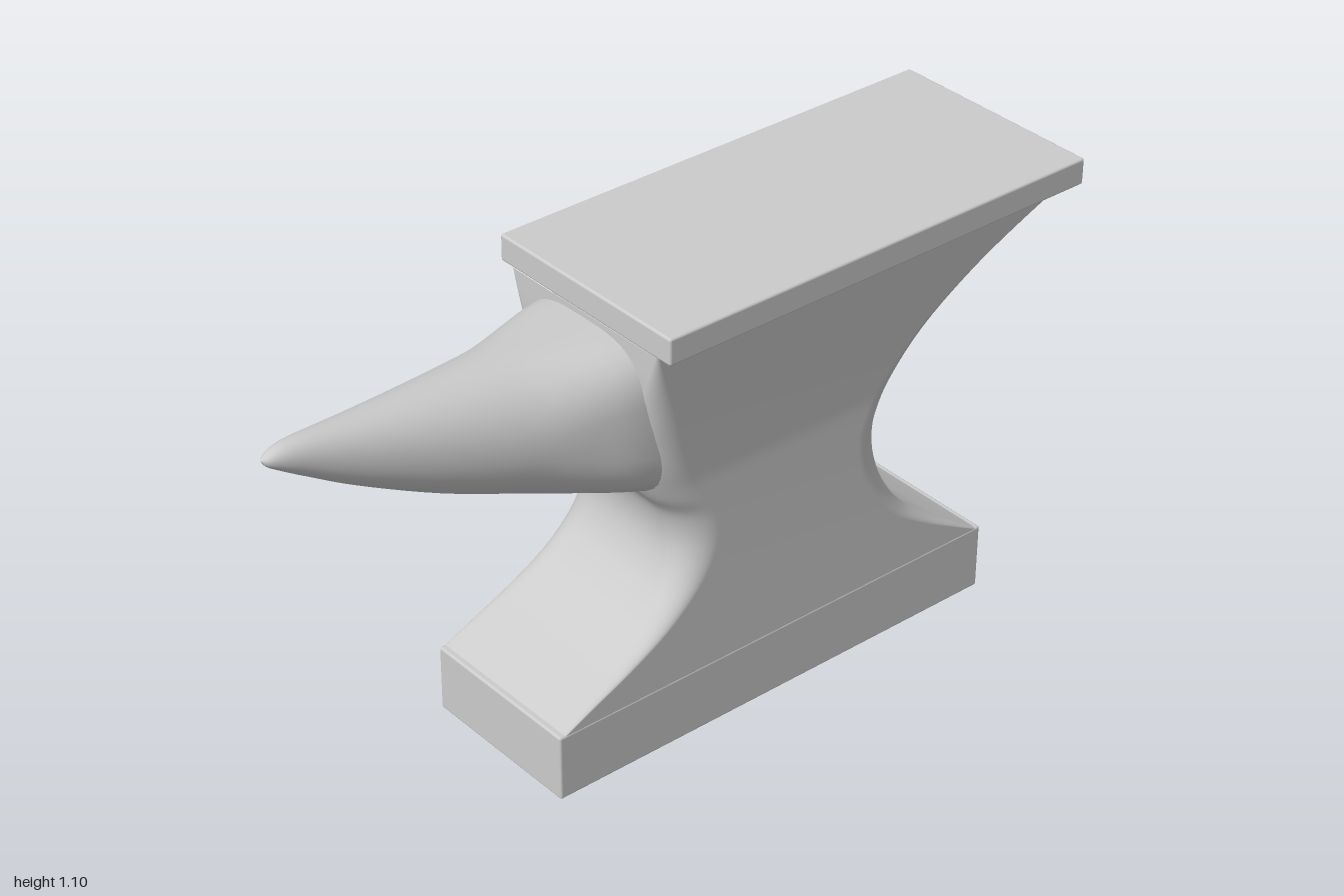
import * as THREE from 'three';
import { RoundedBoxGeometry } from 'three/addons/geometries/RoundedBoxGeometry.js';

const material = new THREE.MeshStandardMaterial({ color: 0xcccccc });

function addMesh(group, name, geometry) {
  const mesh = new THREE.Mesh(geometry, material);
  mesh.name = name;
  group.add(mesh);
  return mesh;
}

// Smooth skin over closed rings that each hold the same number of points
function loft(rings) {
  const n = rings[0].length;
  const index = [];
  for (let i = 0; i < rings.length - 1; i++) {
    for (let j = 0; j < n; j++) {
      const a = i * n + j, b = i * n + (j + 1) % n;
      index.push(a, b, a + n, b, b + n, a + n);
    }
  }
  const geometry = new THREE.BufferGeometry().setFromPoints(rings.flat());
  geometry.setIndex(index);
  geometry.computeVertexNormals();
  return geometry;
}

// Smooth samples through key sections, each section being three numbers
const smooth = (keys, count) =>
  new THREE.CatmullRomCurve3(keys.map(k => new THREE.Vector3(...k)), false, 'centripetal').getPoints(count);

// Rounded rectangle at height y, running so that the skin faces outwards
function bodyRing(y, front, back, halfWidth, radius) {
  const points = [];
  const corners = [[1, front], [1, back], [-1, back], [-1, front]];
  corners.forEach(([side, z], c) => {
    const inward = z === front ? -radius : radius;
    for (let k = 0; k <= 8; k++) {
      const a = Math.PI / 2 - (c + k / 8) * Math.PI / 2;
      points.push(new THREE.Vector3(
        side * (halfWidth - radius) + radius * Math.cos(a), y,
        z + inward + radius * Math.sin(a)));
    }
  });
  return points;
}

export function createModel() {
  const anvil = new THREE.Group();
  anvil.name = 'anvil';

  // Foot and top plate, with slightly softened edges
  addMesh(anvil, 'base', new RoundedBoxGeometry(0.43, 0.168, 1.25, 3, 0.006)).position.set(0, 0.084, -0.185);
  addMesh(anvil, 'facePlate', new RoundedBoxGeometry(0.56, 0.065, 1.19, 3, 0.006)).position.set(0, 1.0685, -0.405);

  // Waisted body: height, front z, back z
  const profile = [
    [0.16, 0.44, -0.81], [0.2, 0.365, -0.745], [0.26, 0.25, -0.655], [0.32, 0.165, -0.585],
    [0.4, 0.1, -0.535], [0.48, 0.077, -0.51], [0.56, 0.09, -0.505], [0.62, 0.13, -0.52],
    [0.7, 0.165, -0.56], [0.8, 0.18, -0.635], [0.9, 0.187, -0.755], [0.97, 0.19, -0.87],
    [1.037, 0.19, -1],
  ];
  const bodyRings = smooth(profile, 60).map(({ x: y, y: front, z: back }) => {
    const t = THREE.MathUtils.clamp((y - 0.16) / 0.877, 0, 1);
    const flare = THREE.MathUtils.clamp((y - 0.66) / 0.377, 0, 1);
    const halfWidth = 0.214 - 0.005 * Math.sin(Math.PI * t) + 0.027 * flare;
    return bodyRing(y, front, back, halfWidth, 0.006 + 0.085 * Math.sin(Math.PI * t));
  });
  addMesh(anvil, 'body', loft(bodyRings));

  // Horn: z, half width, underside height; squarer where it leaves the body
  const hornKeys = [
    [0, 0.195, 0.6], [0.1, 0.2, 0.61], [0.17, 0.2, 0.632], [0.22, 0.195, 0.647], [0.3, 0.178, 0.668],
    [0.4, 0.155, 0.697], [0.6, 0.11, 0.775], [0.8, 0.064, 0.876], [0.9, 0.041, 0.936],
    [0.96, 0.026, 0.974], [0.99, 0.013, 0.995], [1, 0.0005, 1.01],
  ];
  const hornRings = smooth(hornKeys, 60).map(({ x: z, y: halfWidth, z: bottom }) => {
    const crown = z < 0.9
      ? 1.021 + 0.012 * Math.pow((z - 0.45) / 0.45, 2)
      : 1.033 - 0.022 * Math.pow((z - 0.9) / 0.1, 4);
    const root = 1 - THREE.MathUtils.smoothstep(z, 0.12, 0.45);
    const power = 2 / (2.1 + 1.4 * root);
    const middle = (crown + bottom) / 2, halfHeight = (crown - bottom) / 2;
    return Array.from({ length: 40 }, (_, k) => {
      const a = k / 40 * Math.PI * 2, c = Math.cos(a), s = Math.sin(a);
      return new THREE.Vector3(
        halfWidth * Math.sign(c) * Math.pow(Math.abs(c), power),
        middle + halfHeight * Math.sign(s) * Math.pow(Math.abs(s), power), z);
    });
  });
  addMesh(anvil, 'horn', loft(hornRings));

  return anvil;
}
